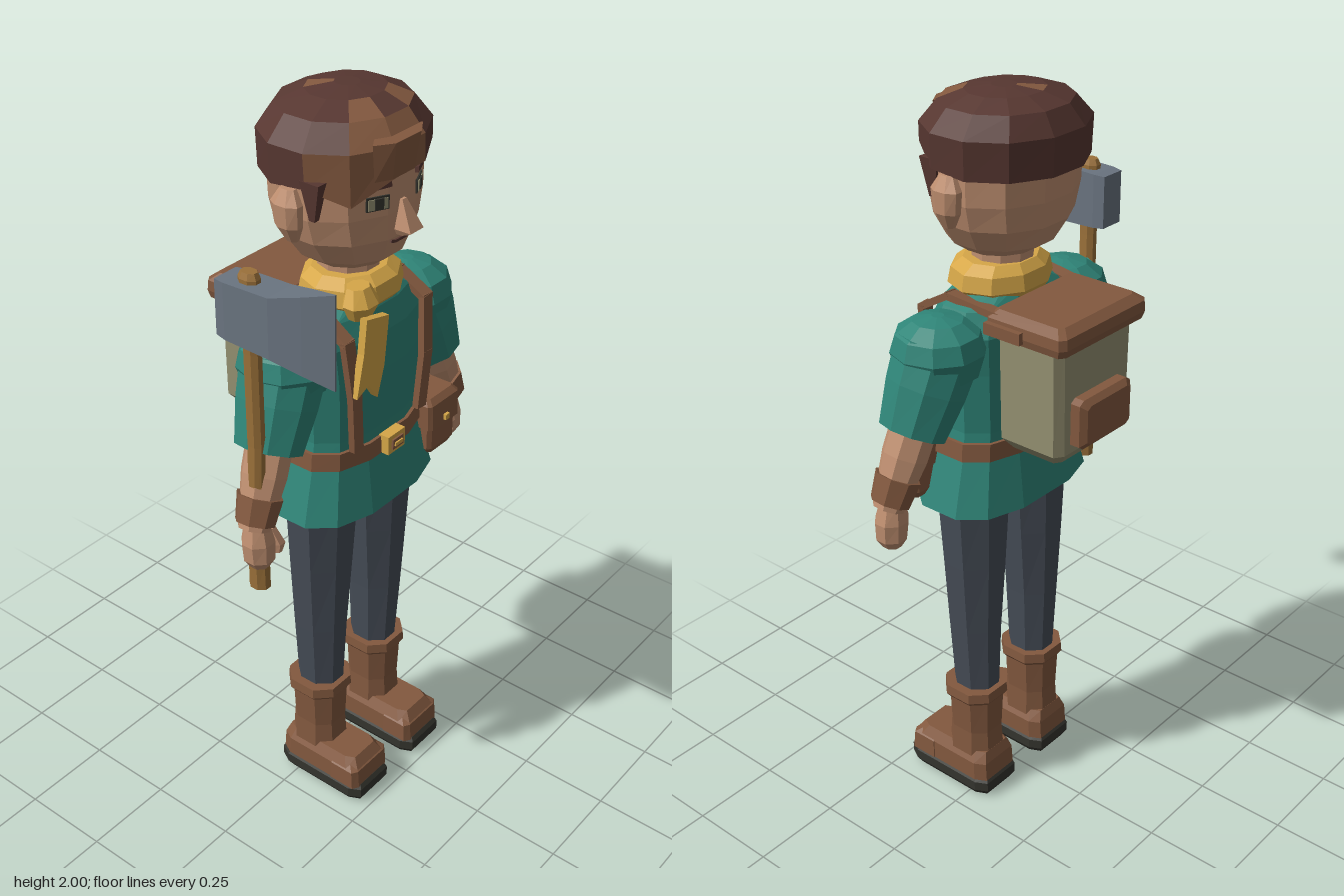
import * as THREE from 'three';

const mat = (name, color) => Object.assign(new THREE.MeshStandardMaterial({ color }), { name });
const M = {
  skin: mat('skin', 0xbf8f70), teal: mat('tunic teal', 0x2f8578), leather: mat('leather brown', 0x83593f),
  hair: mat('dark hair', 0x573731), yellow: mat('scarf yellow', 0xd6a748), canvas: mat('canvas olive', 0x959172),
  steel: mat('steel', 0x6a7480), trousers: mat('slate trousers', 0x464d57), dark: mat('sole dark', 0x34342e),
  wood: mat('handle wood', 0x9b713a),
};

// Faceted solid from stacked rings [y, cx, cz, rx, rz]; a smaller e makes the outline boxier.
// bottom: heights of the first ring; alt(j, i): faces that take the second material.
function loft(rings, n = 8, e = 1, { bottom, alt } = {}) {
  const k = Math.cos(Math.PI / n) ** e;
  const pow = (v) => Math.sign(v) * Math.abs(v) ** e / k;
  const pts = rings.map(([y, cx, cz, rx, rz], j) => Array.from({ length: n }, (_, i) => {
    const a = (i + 0.5) * 2 * Math.PI / n;
    return [cx + rx * pow(Math.sin(a)), j === 0 && bottom ? bottom[i] : y, cz + rz * pow(Math.cos(a))];
  }));
  const out = [[], []];
  const mid = (r) => [r[1], r[0], r[2]];
  const last = rings.length - 1;
  for (let i = 0; i < n; i++) {
    const i2 = (i + 1) % n;
    out[0].push(...mid(rings[0]), ...pts[0][i2], ...pts[0][i]);
    for (let j = 0; j < last; j++) {
      const [a, b, c, d] = [pts[j][i], pts[j][i2], pts[j + 1][i2], pts[j + 1][i]];
      out[alt && alt(j, i) ? 1 : 0].push(...a, ...b, ...c, ...a, ...c, ...d);
    }
    out[alt && alt(last, i) ? 1 : 0].push(...mid(rings[last]), ...pts[last][i], ...pts[last][i2]);
  }
  const g = new THREE.BufferGeometry();
  g.setAttribute('position', new THREE.Float32BufferAttribute([...out[0], ...out[1]], 3));
  if (alt) {
    g.addGroup(0, out[0].length / 3, 0);
    g.addGroup(out[0].length / 3, out[1].length / 3, 1);
  }
  g.computeVertexNormals();
  return g;
}

export function createModel() {
  const model = new THREE.Group();
  model.name = 'adventurer';
  const add = (name, geo, material, parent = model) => {
    const m = new THREE.Mesh(geo, material);
    m.name = name;
    parent.add(m);
    return m;
  };
  const box = (name, material, w, h, d, x, y, z, ry = 0, rz = 0) => {
    const m = add(name, new THREE.BoxGeometry(w, h, d), material);
    m.position.set(x, y, z);
    m.rotation.set(0, ry, rz);
    return m;
  };
  const beam = (name, material, a, b, w, d) => {
    const p = new THREE.Vector3(...a), q = new THREE.Vector3(...b), dir = q.clone().sub(p);
    const m = add(name, new THREE.BoxGeometry(w, dir.length() + 0.012, d), material);
    m.position.copy(p).add(q).multiplyScalar(0.5);
    m.quaternion.setFromUnitVectors(new THREE.Vector3(0, 1, 0), dir.normalize());
  };

  // Tunic, belt and buckle
  add('tunic', loft([[0.94, 0, 0.035, 0.25, 0.152], [1.09, 0, 0.035, 0.205, 0.122], [1.16, 0, 0.035, 0.195, 0.118],
    [1.32, 0, 0.035, 0.2, 0.12], [1.42, 0, 0.03, 0.21, 0.12], [1.48, 0, 0.03, 0.18, 0.1], [1.52, 0, 0.03, 0.09, 0.08]], 12, 0.75), M.teal);
  add('belt', loft([[1.088, 0, 0.035, 0.213, 0.131], [1.135, 0, 0.035, 0.208, 0.128]], 12, 0.75), M.leather);
  box('buckle', M.yellow, 0.068, 0.052, 0.03, 0, 1.113, 0.172);
  box('buckleCentre', M.leather, 0.042, 0.028, 0.008, 0, 1.113, 0.188);
  box('bucklePin', M.yellow, 0.03, 0.01, 0.008, 0, 1.113, 0.192);

  // Belt pouch
  add('pouch', loft([[0.97, 0.228, 0.125, 0.045, 0.035], [0.99, 0.225, 0.125, 0.058, 0.045], [1.07, 0.225, 0.125, 0.058, 0.045]], 8, 0.25), M.leather);
  add('pouchFlap', loft([[1.055, 0.225, 0.127, 0.066, 0.052], [1.125, 0.225, 0.125, 0.066, 0.05], [1.14, 0.225, 0.12, 0.055, 0.04]], 8, 0.2), M.leather);
  box('pouchButton', M.yellow, 0.016, 0.016, 0.01, 0.225, 1.075, 0.181);

  // Neck, scarf and scarf tail
  add('neck', loft([[1.48, 0, 0.03, 0.075, 0.075], [1.63, 0, 0.03, 0.075, 0.075]], 10), M.skin);
  add('scarf', loft([[1.49, 0, 0.035, 0.115, 0.1], [1.51, 0, 0.038, 0.138, 0.115], [1.55, 0, 0.038, 0.13, 0.108], [1.572, 0, 0.035, 0.1, 0.085]], 10), M.yellow);
  add('scarfKnot', loft([[1.49, -0.09, 0.135, 0.03, 0.025], [1.53, -0.092, 0.14, 0.048, 0.038], [1.57, -0.09, 0.13, 0.03, 0.025]], 8), M.yellow);
  const tail = new THREE.Shape([[-0.125, 1.51], [-0.135, 1.42], [-0.16, 1.31], [-0.115, 1.33], [-0.08, 1.28],
    [-0.055, 1.36], [-0.04, 1.49]].map((p) => new THREE.Vector2(...p)));
  add('scarfTail', new THREE.ExtrudeGeometry(tail, { depth: 0.02, bevelEnabled: false }), M.yellow).position.z = 0.165;

  // Head
  add('head', loft([[1.597, 0, 0.035, 0.095, 0.09], [1.625, 0, 0.032, 0.135, 0.13], [1.685, 0, 0.025, 0.175, 0.158],
    [1.75, 0, 0.022, 0.193, 0.163], [1.85, 0, 0.02, 0.197, 0.165], [1.94, 0, 0.01, 0.16, 0.13]], 12), M.skin);
  add('nose', loft([[1.69, 0, 0.188, 0.017, 0.012], [1.705, 0, 0.198, 0.025, 0.032], [1.775, 0, 0.18, 0.008, 0.012]], 4), M.skin);
  box('mouth', M.hair, 0.04, 0.007, 0.008, 0, 1.673, 0.181);
  for (const s of [-1, 1]) {
    box('mouthCorner', M.hair, 0.018, 0.007, 0.008, s * 0.028, 1.676, 0.181, 0, s * 0.35);
    box('eyeRim', M.dark, 0.058, 0.034, 0.008, s * 0.077, 1.785, 0.173, s * 0.46);
    box('eye', M.canvas, 0.05, 0.026, 0.008, s * 0.078, 1.784, 0.175, s * 0.46);
    box('pupil', M.dark, 0.022, 0.026, 0.008, s * 0.077, 1.785, 0.178, s * 0.46);
    box('eyebrow', M.hair, 0.065, 0.014, 0.009, s * 0.077, 1.826, 0.175, s * 0.46, -s * 0.08);
    add('ear', loft([[1.695, s * 0.198, 0.025, 0.012, 0.015], [1.735, s * 0.208, 0.022, 0.024, 0.034],
      [1.79, s * 0.212, 0.02, 0.024, 0.04], [1.825, s * 0.205, 0.02, 0.014, 0.02]], 8), M.skin);
    add('sideburn', loft([[1.755, s * 0.188, 0.08, 0.008, 0.008], [1.85, s * 0.19, 0.08, 0.016, 0.028]], 4), M.hair);
  }
  // Hair cap with an uneven fringe and lighter locks
  const fringe = [1.85, 1.865, 1.83, 1.82, 1.82, 1.82, 1.82, 1.82, 1.82, 1.83, 1.79, 1.845];
  const locks = ['0,9', '0,10', '0,11', '1,10', '1,11', '2,10', '2,0', '3,6'];
  add('hair', loft([[1.82, 0.004, 0.016, 0.208, 0.188], [1.915, 0.006, 0.012, 0.212, 0.188], [1.968, 0.015, 0.004, 0.165, 0.15],
    [1.992, 0.025, 0, 0.1, 0.09], [2, 0.03, 0, 0.03, 0.03]], 12, 1,
  { bottom: fringe, alt: (j, i) => locks.includes(`${j},${i}`) }), [M.hair, M.leather]);
  add('forelock', loft([[1.85, -0.03, 0.19, 0.07, 0.02], [1.935, -0.02, 0.185, 0.08, 0.03]], 6), M.leather);

  for (const s of [-1, 1]) {
    // Arm: puffed shoulder, sleeve, forearm, cuff and hand
    add('shoulder', loft([[1.34, s * 0.24, 0.03, 0.09, 0.1], [1.4, s * 0.24, 0.03, 0.114, 0.115], [1.445, s * 0.24, 0.03, 0.102, 0.1],
      [1.475, s * 0.24, 0.03, 0.06, 0.06], [1.485, s * 0.24, 0.03, 0.015, 0.015]], 10), M.teal);
    const arm = new THREE.Group();
    arm.name = 'arm';
    arm.position.set(s * 0.24, 1.4, 0.03);
    arm.rotation.set(-0.08, 0, s * 0.4);
    model.add(arm);
    add('sleeve', loft([[-0.215, 0, 0, 0.08, 0.085], [-0.1, 0, 0, 0.098, 0.1], [0.01, 0, 0, 0.107, 0.105]], 10), M.teal, arm);
    add('forearm', loft([[-0.42, 0, 0, 0.038, 0.038], [-0.28, 0, 0, 0.055, 0.055], [-0.19, 0, 0, 0.056, 0.056]], 8), M.skin, arm);
    add('cuff', loft([[-0.405, 0, 0, 0.046, 0.048], [-0.335, 0, 0, 0.054, 0.056]], 8), M.leather, arm);
    add('hand', loft([[0.9, s * 0.392, 0.065, 0.022, 0.024], [0.925, s * 0.392, 0.065, 0.038, 0.038], [0.975, s * 0.39, 0.063, 0.043, 0.04],
      [1.025, s * 0.39, 0.06, 0.03, 0.03]], 8), M.skin);
    add('thumb', loft([[0.94, s * 0.362, 0.098, 0.01, 0.011], [0.965, s * 0.358, 0.096, 0.017, 0.017], [1.01, s * 0.368, 0.08, 0.013, 0.013]], 6), M.skin);

    // Trouser leg
    add('trouserLeg', loft([[0.31, s * 0.117, 0.03, 0.053, 0.06], [0.54, s * 0.12, 0.032, 0.066, 0.07],
      [0.75, s * 0.118, 0.033, 0.082, 0.08], [0.98, s * 0.116, 0.035, 0.098, 0.09]], 8), M.trousers);

    // Boot
    const x = s * 0.121;
    add('bootCuff', loft([[0.305, x, 0.03, 0.07, 0.072], [0.317, x, 0.03, 0.079, 0.08], [0.345, x, 0.03, 0.077, 0.078]], 8, 0.8), M.leather);
    add('bootShaft', loft([[0.1, x, 0.03, 0.066, 0.072], [0.2, x, 0.03, 0.061, 0.066], [0.31, x, 0.03, 0.067, 0.07]], 8, 0.8), M.leather);
    add('bootFoot', loft([[0.055, x, 0.08, 0.074, 0.135], [0.11, x, 0.08, 0.073, 0.131], [0.14, x, 0.075, 0.055, 0.115]], 8, 0.3), M.leather);
    add('bootToeCap', loft([[0.055, x, 0.168, 0.077, 0.05], [0.11, x, 0.166, 0.075, 0.047], [0.122, x, 0.16, 0.06, 0.035]], 8, 0.3), M.leather);
    add('bootSole', loft([[0, x, 0.083, 0.064, 0.132], [0.02, x, 0.083, 0.077, 0.143], [0.048, x, 0.083, 0.077, 0.143], [0.06, x, 0.083, 0.068, 0.135]], 8, 0.3), M.dark);

    // Backpack strap over the shoulder
    const path = [[s * 0.13, 1.15, 0.16], [s * 0.143, 1.3, 0.164], [s * 0.155, 1.45, 0.15], [s * 0.15, 1.497, 0.07], [s * 0.14, 1.48, -0.09]];
    path.slice(1).forEach((p, i) => beam('strap', M.leather, path[i], p, 0.036, 0.018));
  }

  // Backpack
  add('packBody', loft([[1.12, 0, -0.165, 0.115, 0.075], [1.155, 0, -0.168, 0.145, 0.098], [1.45, 0, -0.168, 0.15, 0.098]], 8, 0.2), M.canvas);
  add('packLid', loft([[1.435, 0, -0.172, 0.165, 0.115], [1.455, 0, -0.172, 0.17, 0.121], [1.482, 0, -0.172, 0.168, 0.119], [1.5, 0, -0.17, 0.145, 0.098]], 8, 0.12), M.leather);
  box('packLidFront', M.leather, 0.366, 0.03, 0.11, 0, 1.458, -0.118);
  const pocket = add('packPocket', loft([[0, 0, 0, 0.1, 0.066], [0.028, 0, 0, 0.1, 0.066], [0.042, 0, 0, 0.085, 0.052]], 8, 0.2), M.leather);
  pocket.rotation.x = -Math.PI / 2;
  pocket.position.set(0, 1.235, -0.265);

  // Axe: handle and wedge head
  const ax = -0.39, az = 0.063, r2 = Math.SQRT2;
  add('axeHandle', loft([[0.835, ax, az, 0.023, 0.027], [0.91, ax, az, 0.024, 0.026], [1, ax - 0.004, az, 0.018, 0.02],
    [1.25, ax + 0.004, az, 0.018, 0.022], [1.5, ax + 0.002, az, 0.018, 0.022], [1.69, ax, az, 0.021, 0.027], [1.705, ax, az, 0.015, 0.02]], 8), M.wood);
  const blade = add('axeBlade', loft([[-0.01, 0, -1.607, 0.036, 0.07], [0.02, 0, -1.607, 0.042, 0.072], [0.15, 0, -1.607, 0.042, 0.076],
    [0.23, 0, -1.607, 0.024, 0.097], [0.306, 0, -1.607, 0.002, 0.118]], 4), M.steel);
  blade.rotation.x = Math.PI / 2;
  blade.position.x = ax;

  return model;
}
